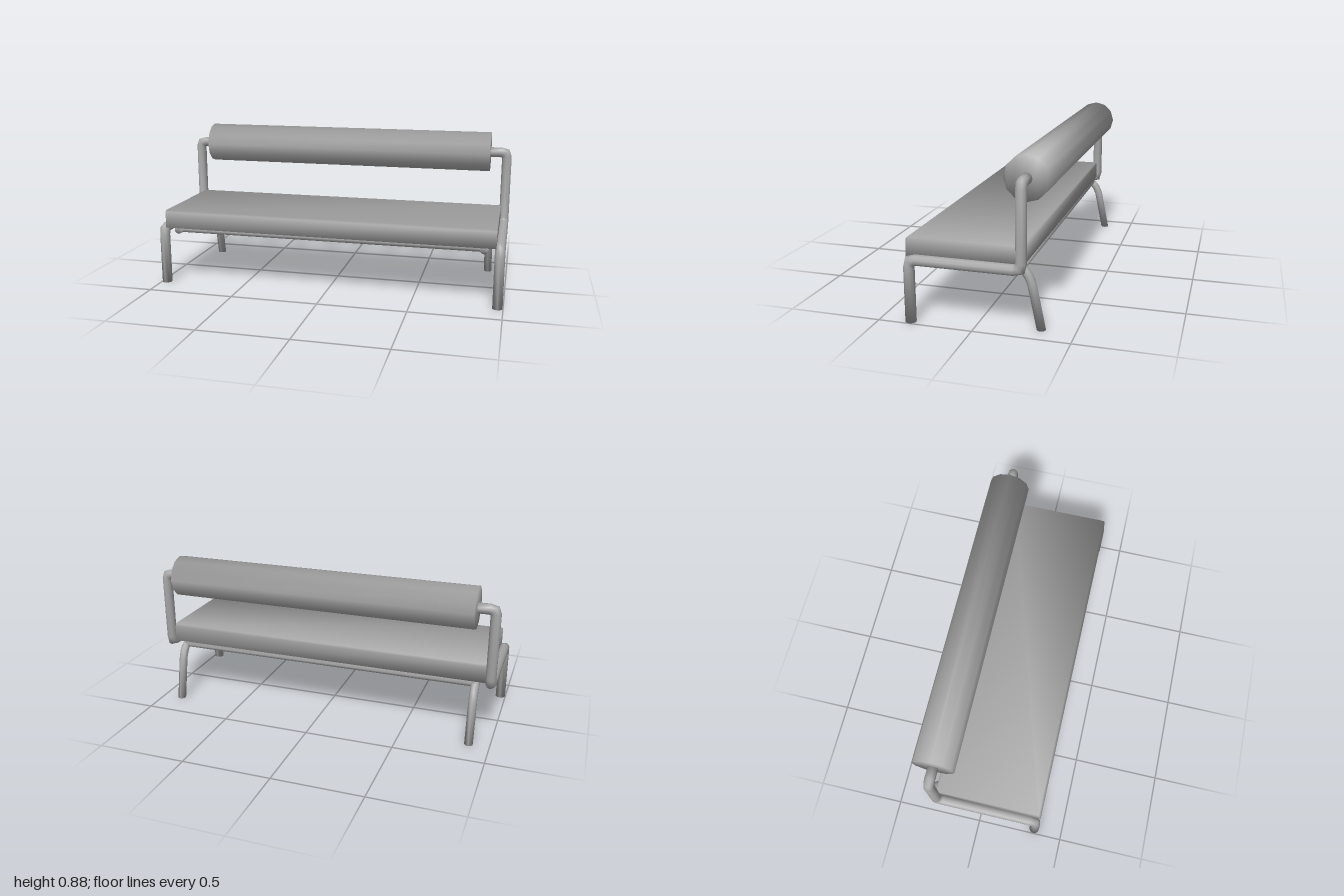
import * as THREE from 'three';
import { mergeVertices } from 'three/addons/utils/BufferGeometryUtils.js';

const V = (x, y, z) => new THREE.Vector3(x, y, z);
const material = new THREE.MeshStandardMaterial({ color: 0xa8a8a8 });

function add(parent, name, geometry) {
  const mesh = new THREE.Mesh(geometry, material);
  mesh.name = name;
  parent.add(mesh);
}

// Soft shading over every edge: each vertex takes the plain mean of its face normals.
function soften(geometry) {
  geometry.deleteAttribute('normal');
  geometry.deleteAttribute('uv');
  const g = mergeVertices(geometry, 1e-4);
  const { position } = g.attributes;
  const normals = Array.from({ length: position.count }, () => V(0, 0, 0));
  const triangle = new THREE.Triangle(), faceNormal = V(0, 0, 0);
  for (let i = 0; i < g.index.count; i += 3) {
    const corners = [0, 1, 2].map((k) => g.index.getX(i + k));
    triangle.setFromAttributeAndIndices(position, ...corners);
    triangle.getNormal(faceNormal);
    corners.forEach((c) => normals[c].add(faceNormal));
  }
  const flat = normals.flatMap((n) => n.normalize().toArray());
  g.setAttribute('normal', new THREE.Float32BufferAttribute(flat, 3));
  return g;
}

// Capped pipe with mitred joints: a ring slides along each segment onto the next joint plane.
function pipe(points, radius, { sides = 10, endNormal } = {}) {
  const n = points.length;
  const dirs = points.slice(1).map((p, i) => p.clone().sub(points[i]).normalize());
  const u = dirs[0].clone().cross(Math.abs(dirs[0].x) > 0.9 ? V(0, 1, 0) : V(1, 0, 0)).normalize();
  const v = dirs[0].clone().cross(u);
  let ring = [];
  for (let k = 0; k < sides; k++) {
    const a = (k / sides) * Math.PI * 2;
    ring.push(points[0].clone().addScaledVector(u, radius * Math.cos(a)).addScaledVector(v, radius * Math.sin(a)));
  }
  const pos = ring.flatMap((p) => p.toArray());
  const index = [];
  for (let i = 1; i < n; i++) {
    const d = dirs[i - 1];
    const normal = i < n - 1 ? d.clone().add(dirs[i]).normalize() : endNormal || d;
    ring = ring.map((p) => p.clone().addScaledVector(d, points[i].clone().sub(p).dot(normal) / d.dot(normal)));
    ring.forEach((p) => pos.push(p.x, p.y, p.z));
    for (let k = 0; k < sides; k++) {
      const a = (i - 1) * sides + k, b = (i - 1) * sides + ((k + 1) % sides);
      index.push(a, b, a + sides, b, b + sides, a + sides);
    }
  }
  // Both caps as zigzag strips across the end ring
  const last = (n - 1) * sides;
  const capTriangle = (a, b, c) => index.push(a, c, b, last + a, last + b, last + c);
  for (let lo = 0, hi = sides - 1; hi - lo > 1; hi--) {
    capTriangle(lo, lo + 1, hi);
    lo++;
    if (hi - lo > 1) capTriangle(lo, hi - 1, hi);
  }
  const g = new THREE.BufferGeometry();
  g.setAttribute('position', new THREE.Float32BufferAttribute(pos, 3));
  g.setIndex(index);
  return soften(g);
}

export function createModel() {
  const model = new THREE.Group();
  model.name = 'bench';

  // Seat cushion: side profile with softened top edges, extruded across the width
  const profile = new THREE.Shape([
    [-0.36, 0.34], [0.247, 0.34], [0.247, 0.433], [0.237, 0.443], [-0.347, 0.443], [-0.355, 0.433],
  ].map(([x, y]) => new THREE.Vector2(x, y)));
  const seat = new THREE.ExtrudeGeometry(profile, { depth: 1.9, bevelEnabled: false });
  seat.translate(0, 0, -0.95).rotateY(Math.PI / 2);
  add(model, 'seat', soften(seat));

  // Twelve-sided bolster backrest
  add(model, 'backrest', pipe([V(-0.875, 0.763, -0.247), V(0.875, 0.763, -0.247)], 0.117, { sides: 12 }));

  for (const s of [1, -1]) {
    const side = s > 0 ? 'left' : 'right';
    // Front leg, side rail and back post in one bent tube
    add(model, side + 'SideFrame', pipe([
      V(s * 0.97, 0, 0.335), V(s * 0.97, 0.292, 0.335), V(s * 0.97, 0.324, 0.327), V(s * 0.97, 0.332, 0.297),
      V(s * 0.97, 0.332, -0.209), V(s * 0.97, 0.34, -0.239), V(s * 0.97, 0.37, -0.247),
      V(s * 0.97, 0.733, -0.247), V(s * 0.962, 0.755, -0.247), V(s * 0.937, 0.762, -0.247),
      V(s * 0.85, 0.762, -0.247),
    ], 0.029));
    // Under-seat rail bending down into the splayed back leg
    add(model, side + 'BackLeg', pipe([
      V(s * 0.886, 0.322, 0.33), V(s * 0.886, 0.322, -0.205), V(s * 0.886, 0.307, -0.236),
      V(s * 0.886, 0.279, -0.259), V(s * 0.886, 0.24, -0.276), V(s * 0.886, 0, -0.326),
    ], 0.024, { endNormal: V(0, -1, 0) }));
  }

  // Cross rails under the seat
  for (const [name, z] of [['frontCrossRail', 0.295], ['backCrossRail', -0.226]]) {
    add(model, name, pipe([V(-0.886, 0.322, z), V(0.886, 0.322, z)], 0.02));
  }
  return model;
}
